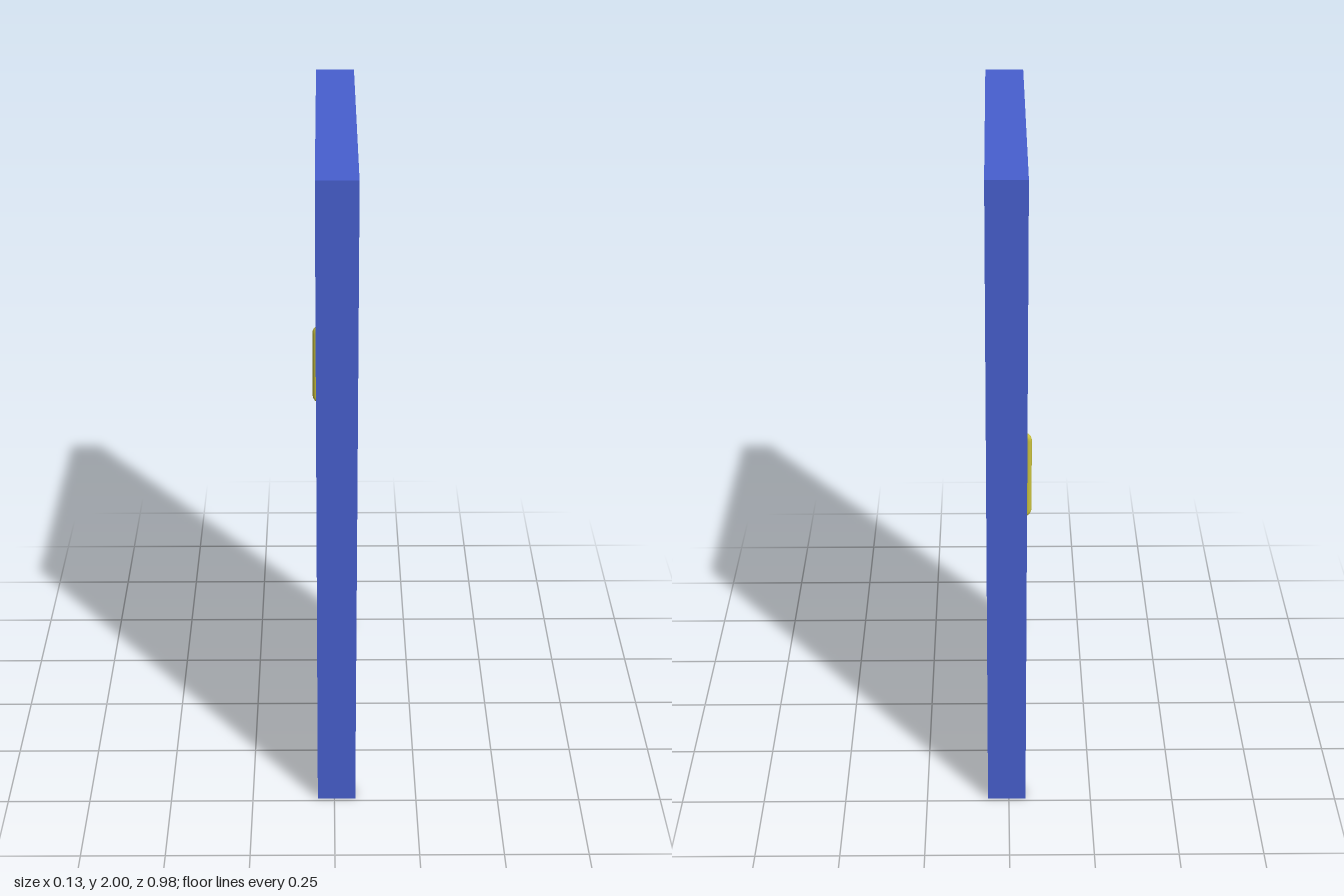
import * as THREE from 'three';

const blue = new THREE.MeshStandardMaterial({ color: 0x4860d0 });
const yellow = new THREE.MeshStandardMaterial({ color: 0xcac23e });

// Rectangle outline in the door plane (z across, y up), with optional corner radius
function rect(z0, z1, y0, y1, r = 0, Type = THREE.Shape) {
  const s = new Type();
  if (!r) {
    s.moveTo(z0, y0).lineTo(z1, y0).lineTo(z1, y1).lineTo(z0, y1).closePath();
    return s;
  }
  s.moveTo(z0 + r, y0).lineTo(z1 - r, y0).quadraticCurveTo(z1, y0, z1, y0 + r);
  s.lineTo(z1, y1 - r).quadraticCurveTo(z1, y1, z1 - r, y1);
  s.lineTo(z0 + r, y1).quadraticCurveTo(z0, y1, z0, y1 - r);
  s.lineTo(z0, y0 + r).quadraticCurveTo(z0, y0, z0 + r, y0);
  return s;
}

// Extrudes a door-plane outline between two x positions
function slab(name, shape, x0, x1, material) {
  const g = new THREE.ExtrudeGeometry(shape, { depth: x1 - x0, bevelEnabled: false, curveSegments: 5 });
  g.rotateY(-Math.PI / 2).translate(x1, 0, 0);
  const m = new THREE.Mesh(g, material);
  m.name = name;
  return m;
}

// Upside-down U: two jambs and a head
function surround(outer, top, inner, innerTop) {
  const s = new THREE.Shape();
  [[-outer, 0], [-inner, 0], [-inner, innerTop], [inner, innerTop], [inner, 0], [outer, 0], [outer, top], [-outer, top]]
    .forEach(([z, y], i) => (i ? s.lineTo(z, y) : s.moveTo(z, y)));
  s.closePath();
  return s;
}

export function createModel() {
  const group = new THREE.Group();
  group.name = 'door';
  const back = -0.022, front = 0.027; // door leaf faces

  // Frame with the stop that the leaf closes against
  group.add(slab('frame', surround(0.49, 2, 0.448, 1.957), -0.051, 0.064, blue));
  group.add(slab('doorStop', surround(0.448, 1.957, 0.427, 1.937), front + 0.001, 0.041, blue));

  // Leaf with a tall opening for the vision panel
  const leaf = rect(-0.445, 0.445, 0.004, 1.953);
  leaf.holes.push(rect(-0.28, -0.115, 0.285, 1.755, 0, THREE.Path));
  group.add(slab('doorLeaf', leaf, back, front, yellow));
  group.add(slab('visionPanel', rect(-0.28, -0.115, 0.285, 1.755), -0.003, 0.008, yellow));

  // Matching trim, push plate and kick plate on both faces
  for (const [side, x, dir] of [['Front', front, 1], ['Back', back, -1]]) {
    const plate = (name, shape, t, inset = 0) => {
      const a = x - dir * inset, b = x + dir * t;
      group.add(slab(name + side, shape, Math.min(a, b), Math.max(a, b), yellow));
    };
    const trim = rect(-0.288, -0.106, 0.275, 1.765);
    trim.holes.push(rect(-0.272, -0.122, 0.29, 1.75, 0.008, THREE.Path));
    plate('panelTrim', trim, 0.004, 0.015);
    plate('handPlate', rect(-0.42, -0.32, 0.9, 1.24, 0.006), 0.0015);
    plate('kickPlate', rect(-0.426, 0.426, 0.006, 0.242), 0.0015);
  }

  // D-shaped pull handle on the back face
  const path = new THREE.CurvePath();
  const v = (x, y) => new THREE.Vector3(x, y, -0.366);
  const r = 0.011, xo = -0.055, y0 = 0.943, y1 = 1.192, c = 0.014;
  path.add(new THREE.LineCurve3(v(back, y0), v(xo + c, y0)));
  path.add(new THREE.QuadraticBezierCurve3(v(xo + c, y0), v(xo, y0), v(xo, y0 + c)));
  path.add(new THREE.LineCurve3(v(xo, y0 + c), v(xo, y1 - c)));
  path.add(new THREE.QuadraticBezierCurve3(v(xo, y1 - c), v(xo, y1), v(xo + c, y1)));
  path.add(new THREE.LineCurve3(v(xo + c, y1), v(back, y1)));
  const handle = new THREE.Mesh(new THREE.TubeGeometry(path, 90, r, 16), yellow);
  handle.name = 'pullHandle';
  group.add(handle);

  // Hinge knuckles on the back face, at the edge away from the handle
  for (const y of [0.24, 0.97, 1.71]) {
    const hinge = new THREE.Mesh(new THREE.CylinderGeometry(0.006, 0.006, 0.095, 12), yellow);
    hinge.name = 'hinge';
    hinge.position.set(back - 0.005, y, 0.443);
    group.add(hinge);
  }
  return group;
}
